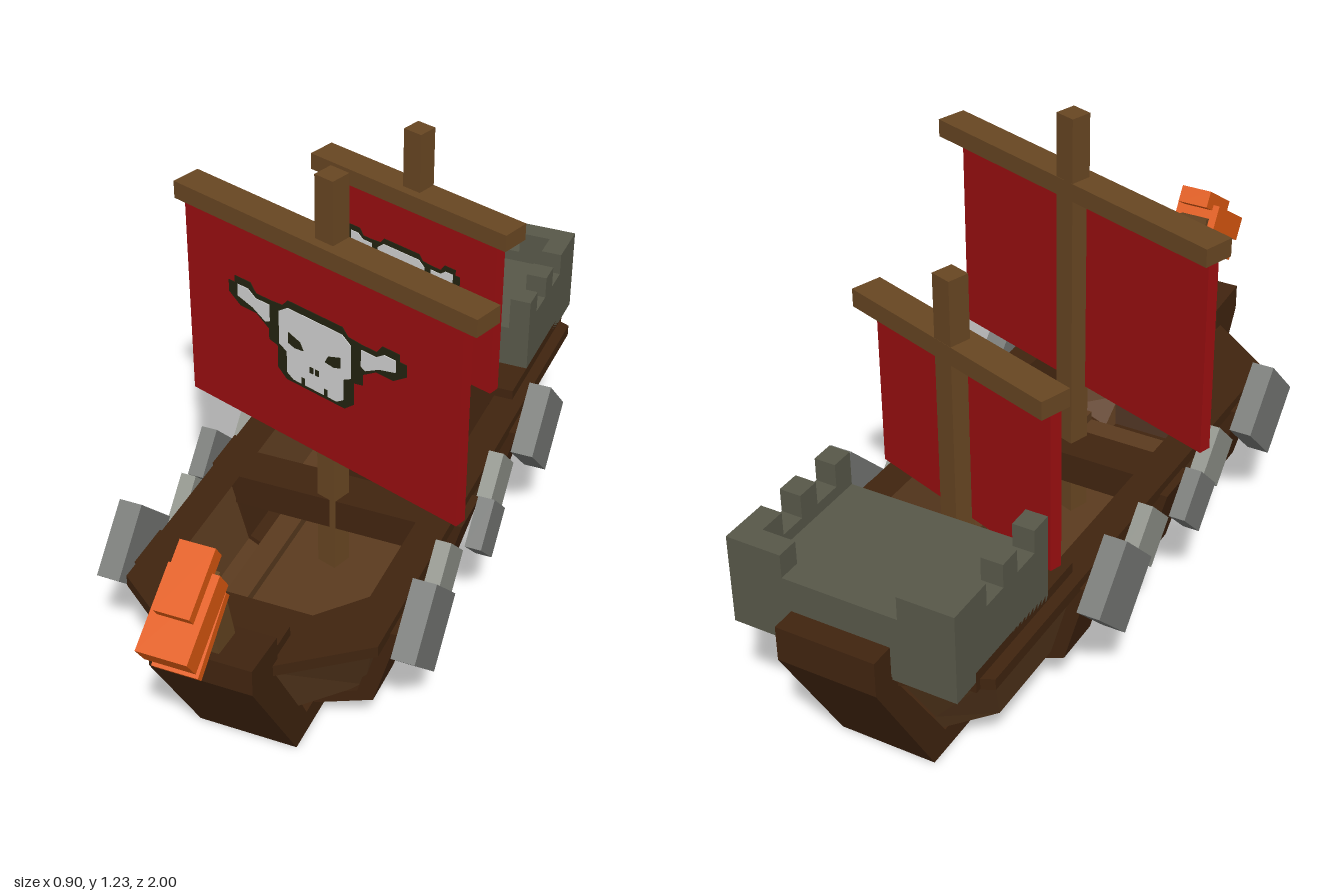
import * as THREE from 'three';

const mat = (name, color, side = THREE.FrontSide) => {
  const m = new THREE.MeshStandardMaterial({ color, side });
  m.name = name;
  return m;
};

export function createModel() {
  const M = {
    dark: mat('darkWood', 0x40240f),
    plank: mat('plankWood', 0x5b3b1f, THREE.DoubleSide),
    spar: mat('sparWood', 0x684622),
    stone: mat('stone', 0x585849),
    shield: mat('shieldGrey', 0x757774),
    pale: mat('paleGrey', 0x8d9088),
    orange: mat('orange', 0xdf5a10),
    red: mat('sailRed', 0x9a0e10),
    bone: mat('bone', 0xd4d4d4),
    black: mat('emblemDark', 0x232410),
  };
  const model = new THREE.Group();
  model.name = 'ship';

  const add = (parent, name, geo, material, x = 0, y = 0, z = 0) => {
    const mesh = new THREE.Mesh(geo, material);
    mesh.name = name;
    mesh.position.set(x, y, z);
    parent.add(mesh);
    return mesh;
  };
  // box given by its min and max on each axis
  const block = (parent, name, m, x0, x1, y0, y1, z0, z1) =>
    add(parent, name, new THREE.BoxGeometry(x1 - x0, y1 - y0, z1 - z0), m,
      (x0 + x1) / 2, (y0 + y1) / 2, (z0 + z1) / 2);
  const shapeOf = pts => new THREE.Shape(pts.map(p => new THREE.Vector2(p[0], p[1])));
  const extrude = (shape, depth) =>
    new THREE.ExtrudeGeometry(shape, { depth, bevelEnabled: false });
  const mirrorPts = half => [...half, ...half.map(([x, y]) => [-x, y]).reverse()];

  const hull = new THREE.Group();
  hull.name = 'hull';
  hull.position.x = 0.005;
  model.add(hull);

  // Keel with stem and stern post, drawn as a (z, y) profile
  const keel = extrude(shapeOf([
    [0.84, 0.43], [0.84, 0.36], [0.62, 0], [-0.79, 0], [-1, 0.36], [-1, 0.45],
    [-0.94, 0.45], [-0.94, 0.37], [-0.74, 0.06], [0.56, 0.06], [0.71, 0.34], [0.71, 0.42],
  ]), 0.25);
  keel.translate(0, 0, -0.125).rotateY(-Math.PI / 2);
  add(hull, 'keel', keel, M.dark);

  // Planking: cross-sections from bow to stern, each top / chine / bottom as [x, y, z]
  const stations = [
    [[0.12, 0.34, 0.74], [0.12, 0.12, 0.61], [0.1, 0.05, 0.57]],
    [[0.3, 0.34, 0.59], [0.24, 0.12, 0.48], [0.11, 0.05, 0.46]],
    [[0.3, 0.34, -0.81], [0.24, 0.12, -0.69], [0.11, 0.05, -0.66]],
    [[0.12, 0.34, -0.91], [0.12, 0.12, -0.77], [0.1, 0.05, -0.74]],
  ];
  const pos = [];
  for (let i = 0; i < 3; i++) for (let j = 0; j < 2; j++) {
    const a = stations[i][j], b = stations[i + 1][j];
    const c = stations[i + 1][j + 1], d = stations[i][j + 1];
    const tris = [a, d, c, a, c, b];
    tris.forEach(p => pos.push(...p));
    tris.slice().reverse().forEach(([x, y, z]) => pos.push(-x, y, z));
  }
  const planks = new THREE.BufferGeometry();
  planks.setAttribute('position', new THREE.Float32BufferAttribute(pos, 3));
  planks.computeVertexNormals();
  add(hull, 'planking', planks, M.plank);

  // Gunwale ring, drawn in plan
  const rail = shapeOf(mirrorPts([[0.12, 0.74], [0.315, 0.59], [0.315, -0.83], [0.12, -0.92]]));
  rail.holes.push(new THREE.Path(mirrorPts(
    [[0.14, 0.55], [0.235, 0.44], [0.235, -0.72], [0.12, -0.82]],
  ).map(p => new THREE.Vector2(...p))));
  add(hull, 'gunwale', extrude(rail, 0.03).rotateX(Math.PI / 2), M.dark, 0, 0.358, 0);

  // Inside floor, thwart, rear deck and steps
  block(hull, 'floor', M.plank, -0.2, 0.2, 0.1, 0.125, -0.64, 0.46);
  for (const x of [-0.16, 0.16]) block(hull, 'floorPlank', M.plank, x - 0.03, x + 0.03, 0.11, 0.15, -0.6, 0.46);
  block(hull, 'thwart', M.dark, -0.26, 0.26, 0.25, 0.335, 0.01, 0.12);
  block(hull, 'rearDeck', M.dark, -0.285, 0.285, 0.33, 0.385, -0.86, -0.43);
  block(hull, 'deckFront', M.dark, -0.22, 0.22, 0.12, 0.34, -0.46, -0.43);
  block(hull, 'stemBlock', M.dark, -0.12, 0.12, 0.3, 0.385, 0.63, 0.72);
  for (let i = 0; i < 4; i++)
    block(hull, 'step', M.dark, -0.14, 0.14, 0.12, 0.33 - i * 0.05, -0.43, -0.38 + i * 0.047);

  // Outer ribs and hanging shields, mirrored on both sides
  const ribShape = shapeOf([[0.11, 0.045], [0.275, 0.115], [0.335, 0.335], [0.29, 0.335], [0.235, 0.13], [0.1, 0.07]]);
  const shields = [
    [0.45, 0.325, 0.132, 0.342, 0.4, M.shield],
    [0.225, 0.3, 0.09, 0.315, 0.354, M.pale],
    [0.03, 0.3, 0.09, 0.352, 0.394, M.shield],
    [-0.155, 0.3, 0.09, 0.315, 0.354, M.pale],
    [-0.385, 0.325, 0.132, 0.342, 0.4, M.shield],
  ];
  for (const s of [-1, 1]) {
    for (const z of [0.45, 0.03, -0.385]) {
      const g = extrude(ribShape, 0.13).translate(0, 0, -0.065);
      if (s < 0) g.rotateY(Math.PI);
      add(hull, 'rib', g, M.dark, 0, 0, z);
    }
    for (const [z, y, half, x0, x1, m] of shields) {
      const e = half * Math.SQRT2;
      add(hull, 'shield', new THREE.BoxGeometry(x1 - x0, e, e), m, s * (x0 + x1) / 2, y, z).rotation.x = Math.PI / 4;
    }
  }

  // Stern castle with battlements
  const castle = new THREE.Group();
  castle.name = 'sternCastle';
  hull.add(castle);
  block(castle, 'castleBase', M.stone, -0.23, 0.23, 0.36, 0.5, -0.88, -0.545);
  block(castle, 'rearWall', M.stone, -0.285, 0.285, 0.36, 0.53, -0.937, -0.88);
  for (const s of [-1, 1]) {
    const side = (name, a, b, y0, y1, z0, z1) =>
      block(castle, name, M.stone, Math.min(s * a, s * b), Math.max(s * a, s * b), y0, y1, z0, z1);
    side('sideWall', 0.23, 0.285, 0.36, 0.53, -0.88, -0.545);
    side('merlon', 0.23, 0.285, 0.53, 0.59, -0.605, -0.545);
    side('merlon', 0.23, 0.285, 0.53, 0.59, -0.74, -0.68);
    side('merlon', 0.23, 0.285, 0.53, 0.59, -0.88, -0.81);
    side('cornerMerlon', 0.145, 0.285, 0.53, 0.59, -0.937, -0.88);
  }

  // Horned skull emblem: half outlines in small grid units, mirrored
  const outline = mirrorPts([[0, 40], [25, 40], [30, 34], [42, 33], [55, 33], [60, 40], [75, 40], [75, 34], [81, 34],
    [81, 24], [70, 16], [55, 16], [43, 8], [43, -1], [35, -3], [35, -22], [27, -29], [0, -29]]);
  const face = mirrorPts([[0, 34], [25, 34], [33, 28], [33, 0], [26, -4], [26, -22], [20, -26], [0, -26]]);
  const horn = [[42, 29], [55, 29], [62, 34], [72, 34], [72, 24], [58, 20], [46, 13], [42, 15]];
  const eye = [[10, 4], [13, 10], [24, 14], [24, 5], [18, 3]];
  const tooth = [[9, -20], [12, -20], [12, -26], [9, -26]];
  const nose = [[1, -7], [4, -7], [4, -12], [1, -12]];
  const flip = pts => pts.map(([x, y]) => [-x, y]);
  function emblem(sx, sy) {
    const g = new THREE.Group();
    g.name = 'skullEmblem';
    const plate = (name, pts, m, z) =>
      add(g, name, extrude(shapeOf(pts.map(([x, y]) => [x * sx, y * sy])), 0.002), m, 0, 0, z);
    plate('skullOutline', outline, M.black, 0);
    plate('skullFace', face, M.bone, 0.002);
    for (const f of [p => p, flip]) {
      plate('horn', f(horn), M.bone, 0.002);
      plate('eye', f(eye), M.black, 0.004);
      plate('nostril', f(nose), M.black, 0.004);
      plate('toothGap', f(tooth), M.black, 0.004);
    }
    return g;
  }

  // Masts with turned yards and sails
  function rig(name, z, top, yardY, yardLen, sailW, sailY0, sx, sy) {
    const g = new THREE.Group();
    g.name = name;
    g.position.z = z;
    g.rotation.y = -0.33;
    block(g, 'mast', M.spar, -0.0275, 0.0275, 0.1, top, -0.0275, 0.0275);
    block(g, 'yard', M.spar, -yardLen / 2, yardLen / 2, yardY, yardY + 0.046, -0.028, 0.052);
    block(g, 'sail', M.red, -sailW / 2, sailW / 2, sailY0, yardY, 0.019, 0.051);
    const e = emblem(sx, sy);
    e.position.set(-0.008, (sailY0 + yardY) / 2, 0.051);
    g.add(e);
    model.add(g);
  }
  rig('mainRig', 0.09, 1.23, 1.02, 0.92, 0.85, 0.487, 1 / 292, 1 / 308.5);
  rig('rearRig', -0.465, 1.08, 0.872, 0.64, 0.59, 0.44, 0.69 / 292, 0.8 / 308.5);

  // Beast figurehead: neck leans forward, head pitches down
  const figure = new THREE.Group();
  figure.name = 'figurehead';
  model.add(figure);
  const neck = extrude(shapeOf([[0.81, 0.41], [0.73, 0.41], [0.79, 0.64], [0.86, 0.62]]), 0.08);
  neck.scale(-1, 1, 1).scale(-1, 1, 1).translate(0, 0, -0.04).rotateY(-Math.PI / 2);
  // profile is listed clockwise; the extruder orders it outward
  add(figure, 'neck', neck, M.spar);
  const tilted = (name, m, w, h, d, y, z, tilt = 0.59) => {
    add(figure, name, new THREE.BoxGeometry(w, h, d), m, 0, y, z).rotation.x = tilt;
  };
  tilted('upperJaw', M.orange, 0.12, 0.065, 0.2, 0.585, 0.895);
  tilted('brow', M.orange, 0.084, 0.045, 0.16, 0.655, 0.862);
  tilted('teeth', M.pale, 0.09, 0.025, 0.15, 0.545, 0.875);
  tilted('lowerJaw', M.orange, 0.11, 0.024, 0.19, 0.523, 0.862, 0.69);

  return model;
}
